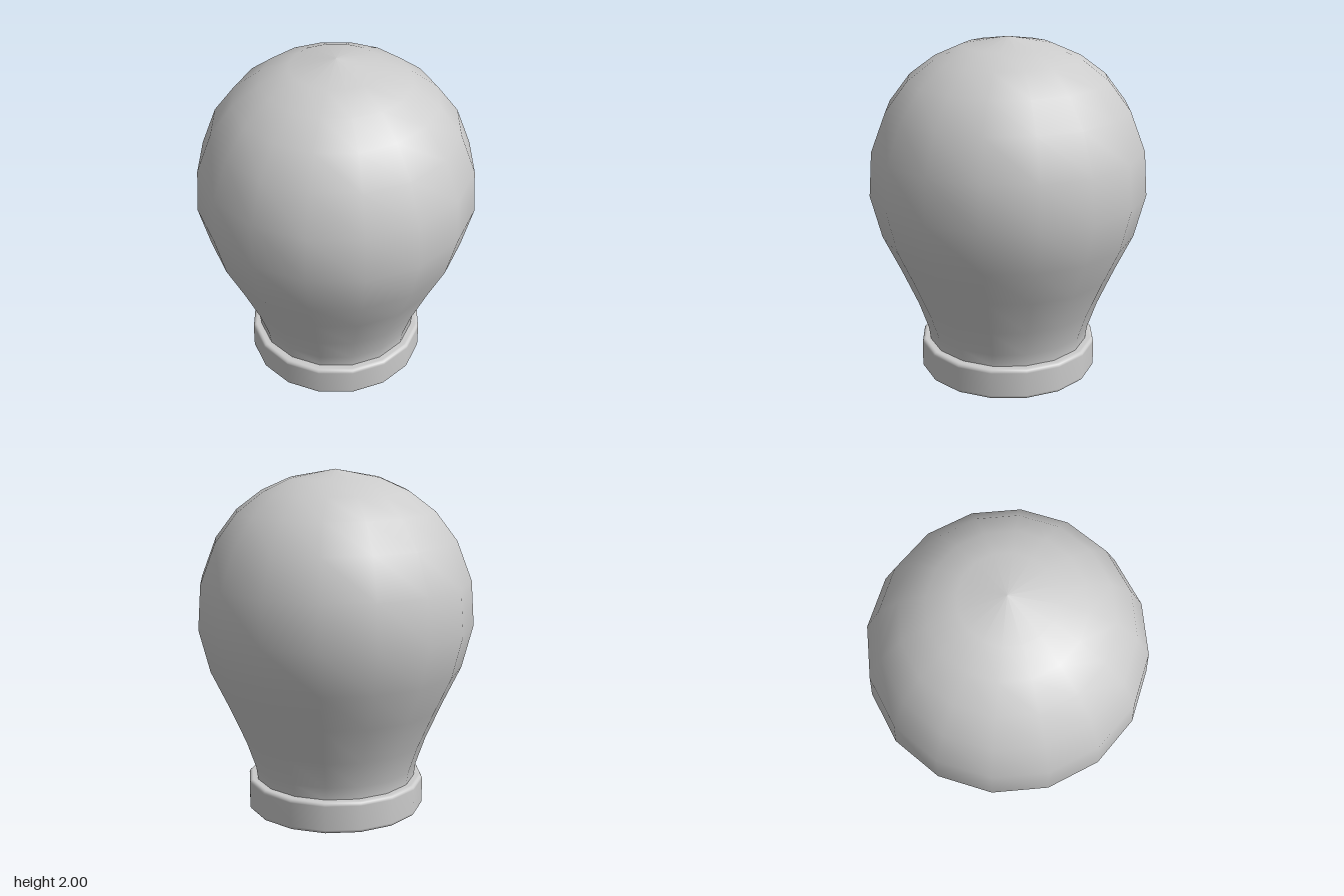
import * as THREE from 'three';

const SIDES = 16;

// Closed ring section with rounded corners, listed counter-clockwise
function ringSection(inner, outer, height, r) {
  const mid = (inner + outer) / 2;
  const corners = [
    [outer - r, r, -90], [outer - r, height - r, 0],
    [inner + r, height - r, 90], [inner + r, r, 180],
  ];
  const points = [new THREE.Vector2(mid, 0)];
  for (const [cx, cy, start] of corners) {
    for (let i = 0; i <= 4; i++) {
      const a = THREE.MathUtils.degToRad(start + i * 22.5);
      points.push(new THREE.Vector2(cx + r * Math.cos(a), cy + r * Math.sin(a)));
    }
  }
  points.push(new THREE.Vector2(mid, 0));
  return points;
}

export function createModel() {
  const model = new THREE.Group();
  model.name = 'bulb';

  // Hollow glass dome, open at the neck
  const profile = [
    [0.47, 0.12], [0.475, 0.19], [0.485, 0.26], [0.54, 0.42], [0.637, 0.64],
    [0.742, 0.86], [0.806, 1.11], [0.788, 1.37], [0.7, 1.6], [0.575, 1.765],
    [0.425, 1.878], [0.26, 1.952], [0, 2],
  ].map(([x, y]) => new THREE.Vector2(x, y));
  const dome = new THREE.Mesh(
    new THREE.LatheGeometry(profile, SIDES),
    new THREE.MeshStandardMaterial({ color: 0xcccccc, side: THREE.DoubleSide }),
  );
  dome.name = 'dome';

  // Rounded collar ring around the neck
  const collar = new THREE.Mesh(
    new THREE.LatheGeometry(ringSection(0.43, 0.525, 0.186, 0.022), SIDES),
    new THREE.MeshStandardMaterial({ color: 0xcccccc }),
  );
  collar.name = 'collar';

  model.add(dome, collar);
  return model;
}
